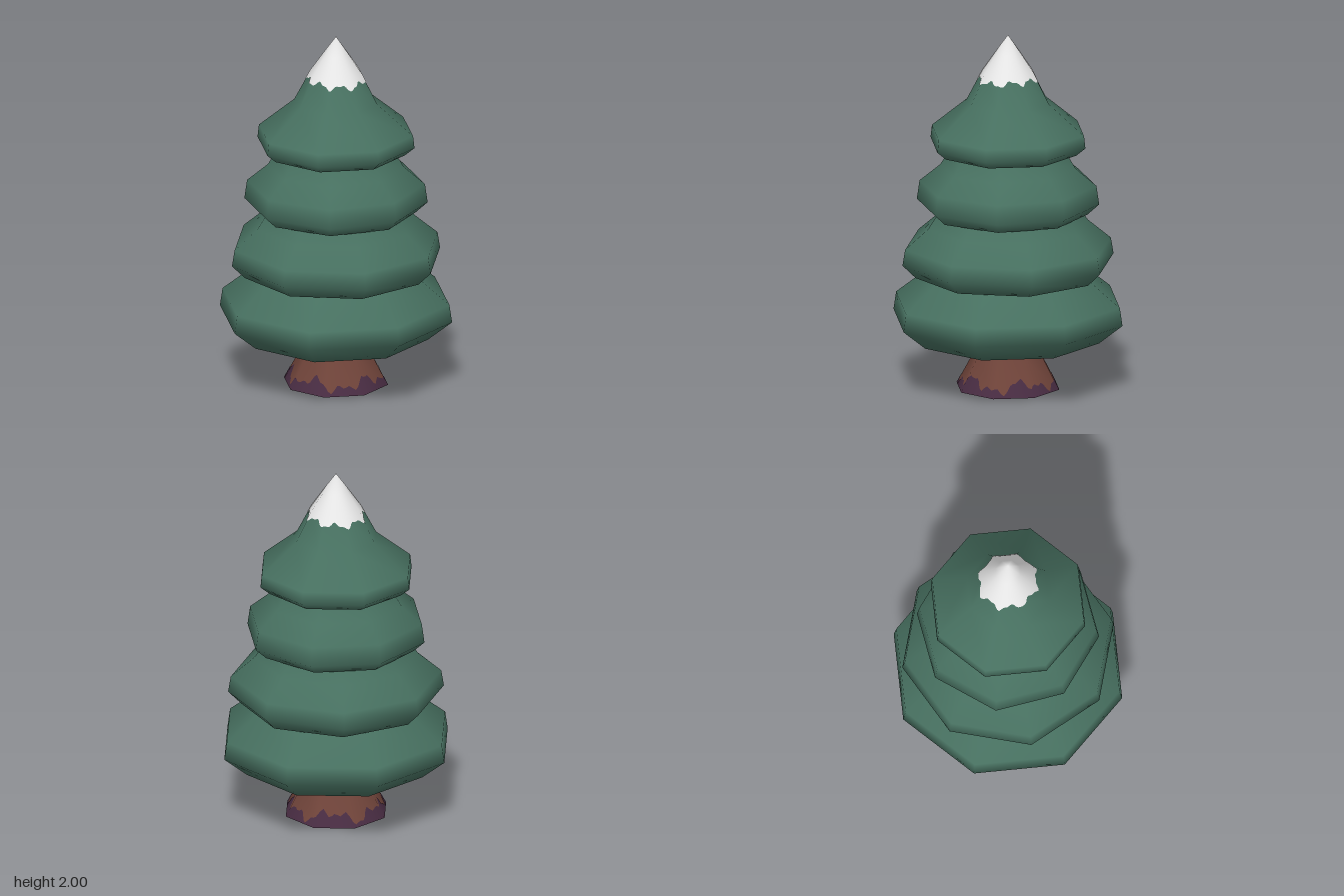
import * as THREE from 'three';

const SIDES = 8;
const STEP = (Math.PI * 2) / SIDES;

function material(name, color) {
  const m = new THREE.MeshStandardMaterial({ color });
  m.name = name;
  return m;
}

// Smooth-shaded octagonal solid from a [radius, height] profile, bottom to top
function octagonal(name, profile, mat, turn = 0) {
  const points = profile.map(([r, y]) => new THREE.Vector2(r, y));
  const mesh = new THREE.Mesh(new THREE.LatheGeometry(points, SIDES, turn), mat);
  mesh.name = name;
  return mesh;
}

// Radius of a profile at a given height
function radiusAt(profile, y) {
  for (let i = 1; i < profile.length; i++) {
    const [r0, y0] = profile[i - 1], [r1, y1] = profile[i];
    if (y <= y1) return r0 + ((r1 - r0) * (y - y0)) / (y1 - y0);
  }
  return profile[profile.length - 1][0];
}

// Thin painted skin hugging an octagonal profile; each row gives height by angle
function skin(name, profile, rows, mat, lift, slope) {
  const columns = 96, positions = [], normals = [], index = [];
  rows.forEach((row, i) => {
    for (let j = 0; j <= columns; j++) {
      const a = (j / columns) * Math.PI * 2;
      const y = row(a);
      const flat = Math.cos(STEP / 2) / Math.cos((a % STEP) - STEP / 2);
      const base = radiusAt(profile, y);
      const r = base > 0 ? (base + lift) * flat : 0;
      positions.push(Math.sin(a) * r, y, Math.cos(a) * r);
      const n = new THREE.Vector3(Math.sin(a), slope, Math.cos(a));
      if (base === 0) n.set(0, 1, 0);
      n.normalize();
      normals.push(n.x, n.y, n.z);
      if (i < rows.length - 1 && j < columns) {
        const p = i * (columns + 1) + j, q = p + columns + 1;
        index.push(p, p + 1, q, p + 1, q + 1, q);
      }
    }
  });
  const g = new THREE.BufferGeometry();
  g.setAttribute('position', new THREE.Float32BufferAttribute(positions, 3));
  g.setAttribute('normal', new THREE.Float32BufferAttribute(normals, 3));
  g.setIndex(index);
  const mesh = new THREE.Mesh(g, mat);
  mesh.name = name;
  return mesh;
}

export function createModel() {
  const needles = material('needle green', 0x477060);
  const snow = material('snow white', 0xf0f0f0);
  const bark = material('bark brown', 0x70443a);
  const stain = material('bark purple', 0x482c42);
  const underside = material('root dark purple', 0x3b2c44);
  const shade = material('bark slate', 0x303a4a);

  const tree = new THREE.Group();
  tree.name = 'snowCappedTree';

  // Flared trunk with a flat underside
  const trunkProfile = [[0.292, 0], [0.185, 0.2], [0.16, 0.28], [0.15, 0.36]];
  tree.add(octagonal('trunk', trunkProfile, bark));
  const foot = new THREE.Mesh(new THREE.CircleGeometry(0.292, SIDES), underside);
  foot.name = 'trunkUnderside';
  foot.rotation.x = Math.PI / 2;
  tree.add(foot);

  // Ragged stains around the root and under the branches
  const rootEdge = (a) => 0.055 + 0.022 * Math.sin(5 * a + 0.8) + 0.018 * Math.sin(11 * a)
    + 0.012 * Math.sin(23 * a + 1);
  const topEdge = (a) => 0.262 + 0.007 * Math.sin(7 * a) + 0.005 * Math.sin(16 * a + 2);
  const shadeEdge = (a) => 0.273 - 0.008 * Math.cos(4 * a);
  tree.add(skin('rootStain', trunkProfile, [() => 0, rootEdge], stain, 0.002, 0.5));
  tree.add(skin('upperStain', trunkProfile, [topEdge, () => 0.3], stain, 0.002, 0.3));
  tree.add(skin('upperShade', trunkProfile, [shadeEdge, () => 0.3], shade, 0.004, 0.3));

  // Four tiers of branches, each turned a little against the next
  const deg = Math.PI / 180;
  const crown = [[0.235, 1.62], [0.146, 1.79], [0, 2]];
  const tiers = [
    ['bottomTier', 0, [[0, 0.29], [0.52, 0.28], [0.655, 0.39], [0.64, 0.49], [0.44, 0.65], [0.36, 0.76]]],
    ['lowerMiddleTier', -16, [[0, 0.655], [0.52, 0.645], [0.595, 0.72], [0.58, 0.81], [0.45, 0.92],
      [0.4, 0.995], [0.34, 1.09]]],
    ['upperMiddleTier', 9, [[0, 1], [0.44, 0.99], [0.505, 1.05], [0.49, 1.155], [0.375, 1.25],
      [0.32, 1.34], [0.27, 1.42]]],
    ['topTier', 0, [[0, 1.35], [0.39, 1.34], [0.443, 1.385], [0.435, 1.455], crown[0], crown[1], [0, 1.995]]],
  ];
  for (const [name, turn, profile] of tiers) tree.add(octagonal(name, profile, needles, turn * deg));

  // Snow cap with a scalloped lower edge
  const snowEdge = (a) => 1.755 - 0.012 * Math.cos(8 * a) + 0.006 * Math.sin(19 * a)
    - 0.006 * Math.cos(2 * a);
  tree.add(skin('snowCap', crown, [snowEdge, () => 1.79, () => 1.9, () => 2], snow, 0.003, 0.65));

  return tree;
}
